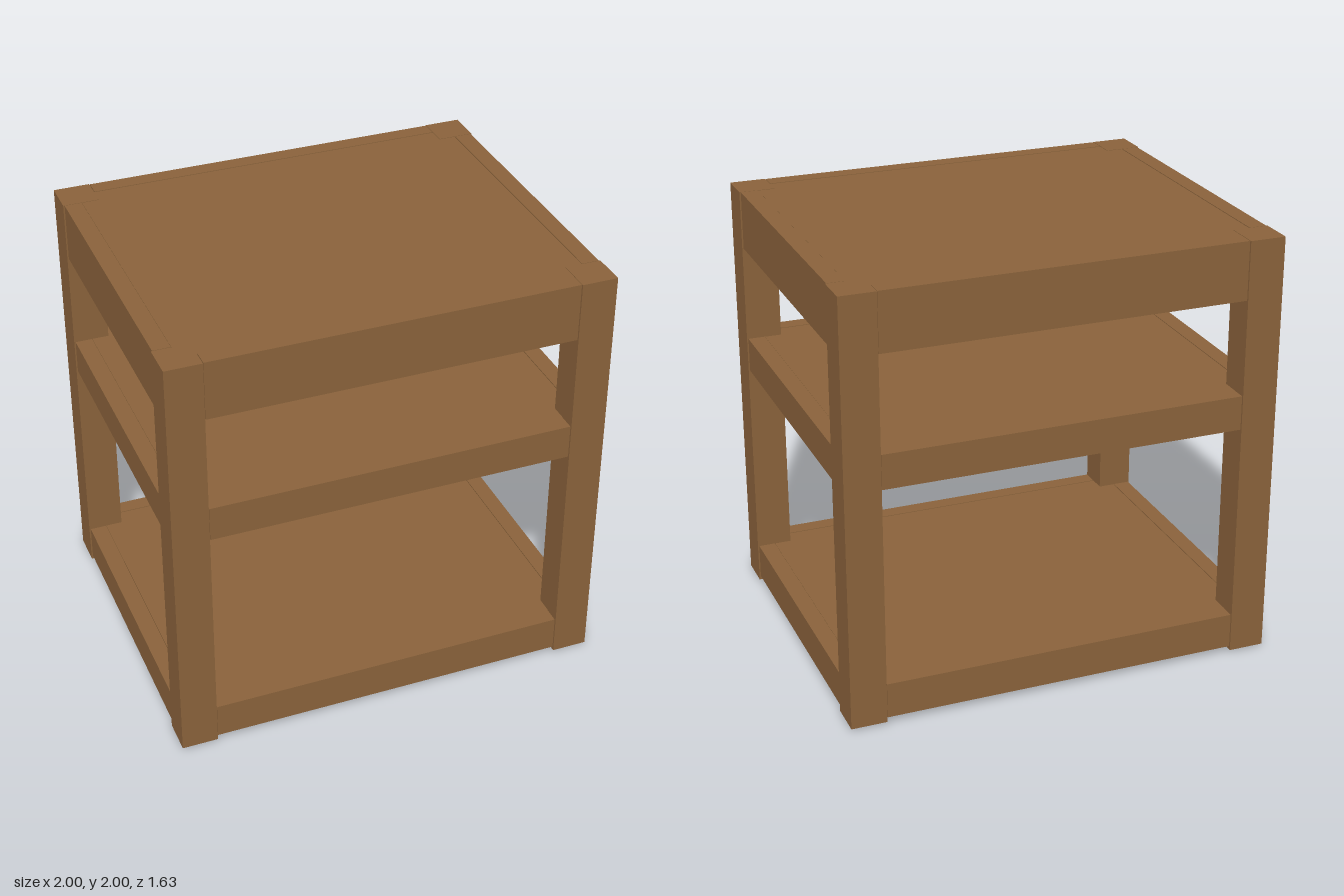
import * as THREE from 'three';

const LEG_X = 0.835, LEG_Z = 0.655;      // inner faces of the legs
const PANEL_X = 0.913, PANEL_Z = 0.733;  // panel edges against the rails

export function createModel() {
  const wood = new THREE.MeshStandardMaterial({ color: 0x8a623b });
  wood.name = 'brown wood';
  const metal = new THREE.MeshStandardMaterial({ color: 0x626466 });
  metal.name = 'dark grey metal';

  const model = new THREE.Group();
  model.name = 'sideTable';

  const add = (parent, name, geometry, material, x, y, z) => {
    const mesh = new THREE.Mesh(geometry, material);
    mesh.name = name;
    mesh.position.set(x, y, z);
    parent.add(mesh);
    return mesh;
  };
  // Box given by its lower and upper limits
  const box = (parent, name, material, [x0, x1], [y0, y1], [z0, z1]) =>
    add(parent, name, new THREE.BoxGeometry(x1 - x0, y1 - y0, z1 - z0), material,
      (x0 + x1) / 2, (y0 + y1) / 2, (z0 + z1) / 2);
  const side = (s, a, b) => (s > 0 ? [a, b] : [-b, -a]);

  // Corner legs with foot pads
  for (const sx of [-1, 1]) {
    for (const sz of [-1, 1]) {
      box(model, 'leg', wood, side(sx, LEG_X, 1), [0.01, 2], side(sz, LEG_Z, 0.815));
      box(model, 'footPad', metal, side(sx, 0.865, 0.975), [0, 0.01], side(sz, 0.685, 0.79));
    }
  }

  // Panel outline, notched around the legs
  const outline = new THREE.Shape([
    [LEG_X, -PANEL_Z], [LEG_X, -LEG_Z], [PANEL_X, -LEG_Z],
    [PANEL_X, LEG_Z], [LEG_X, LEG_Z], [LEG_X, PANEL_Z],
    [-LEG_X, PANEL_Z], [-LEG_X, LEG_Z], [-PANEL_X, LEG_Z],
    [-PANEL_X, -LEG_Z], [-LEG_X, -LEG_Z], [-LEG_X, -PANEL_Z],
  ].map(([x, y]) => new THREE.Vector2(x, y)));

  // Each tier: four rails framing a recessed panel, with bolts in the corners
  const addTier = (name, bottom, panelBottom, top) => {
    const tier = new THREE.Group();
    tier.name = name;
    model.add(tier);
    for (const s of [-1, 1]) {
      box(tier, 'longRail', wood, [-0.832, 0.832], [bottom, top], side(s, 0.735, 0.811));
      box(tier, 'sideRail', wood, side(s, 0.915, 0.994), [bottom, top], [-0.652, 0.652]);
    }

    const geometry = new THREE.ExtrudeGeometry(outline, {
      depth: top - panelBottom - 0.002, bevelEnabled: false,
    });
    geometry.rotateX(-Math.PI / 2);
    add(tier, 'panel', geometry, wood, 0, panelBottom, 0);

    for (const sx of [-1, 1]) {
      for (const sz of [-1, 1]) {
        const bolt = add(tier, 'cornerBolt', new THREE.CylinderGeometry(0.022, 0.022, 0.07, 12),
          metal, sx * 0.815, panelBottom - 0.035, sz * 0.635);
        bolt.quaternion.setFromUnitVectors(new THREE.Vector3(0, 1, 0),
          new THREE.Vector3(sx, 0, sz).normalize());
      }
    }
  };
  addTier('lowerShelf', 0.03, 0.11, 0.195);
  addTier('middleShelf', 1.125, 1.205, 1.285);
  addTier('tableTop', 1.73, 1.865, 2);

  return model;
}
